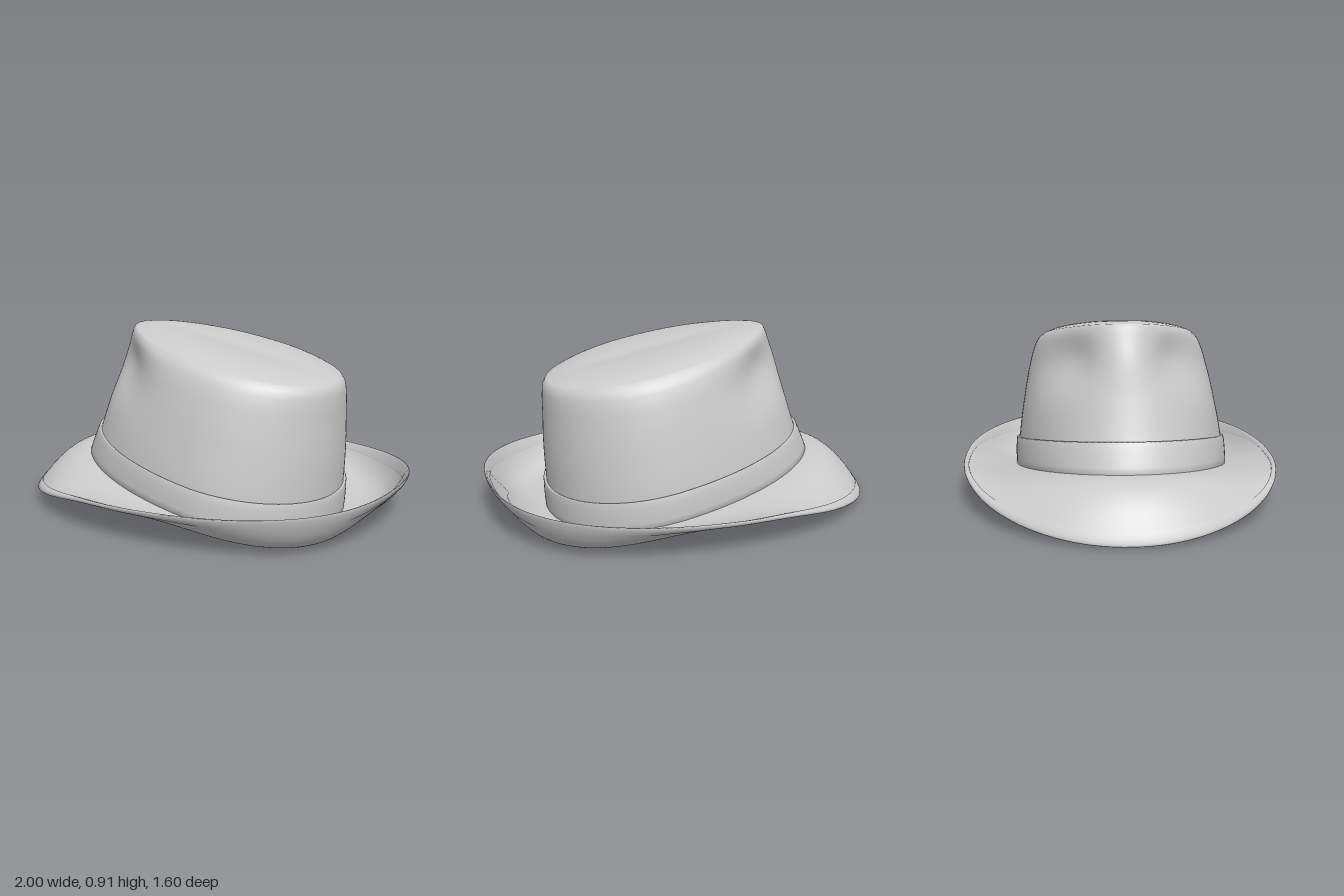
import * as THREE from 'three';

const SEG = 128;
const felt = new THREE.MeshStandardMaterial({ color: 0xcccccc, side: THREE.DoubleSide });

// Smooth curve through key values: key positions, then size values per key
function spline(keys, values, size) {
  const curve = new THREE.CubicInterpolant(keys, values, size);
  return (t) => Array.from(curve.evaluate(t));
}

// Skin a stack of closed rings; each ring is a function angle -> [x, y, z]
function loft(name, rings) {
  const pos = [], index = [];
  rings.forEach((ring, i) => {
    for (let j = 0; j < SEG; j++) {
      pos.push(...ring((j / SEG) * Math.PI * 2));
      if (i === rings.length - 1) continue;
      const a = i * SEG + j, b = i * SEG + ((j + 1) % SEG);
      index.push(a, a + SEG, b, b, a + SEG, b + SEG);
    }
  });
  const geo = new THREE.BufferGeometry();
  geo.setAttribute('position', new THREE.Float32BufferAttribute(pos, 3));
  geo.setIndex(index);
  geo.computeVertexNormals();
  const mesh = new THREE.Mesh(geo, felt);
  mesh.name = name;
  return mesh;
}

const steps = (n, from, to) => Array.from({ length: n + 1 }, (_, i) => from + ((to - from) * i) / n);
const gauss = (d, w) => Math.exp(-((d / w) ** 2));
const { lerp, clamp } = THREE.MathUtils;

// Crown: front x, rear x and half width from the base (0) to the rim (1)
const crownSize = spline(
  [0, 0.21, 0.5, 0.75, 0.9, 0.97, 1],
  [-0.7, 0.68, 0.54, -0.64, 0.69, 0.535, -0.575, 0.7, 0.505, -0.53, 0.7, 0.47,
    -0.49, 0.7, 0.44, -0.47, 0.695, 0.415, -0.46, 0.685, 0.39], 3);
const baseY = (x) => 0.126 - 0.17 * x;
const rimY = (x) => 0.822 - 0.19 * x;

// Point on the egg-shaped crown, with a finger pinch on each side of the front
function crownPoint(t, angle, grow = 0) {
  const [front, rear, half] = crownSize(t);
  const cx = 0.15 + 0.05 * t;
  const c = Math.cos(angle), s = Math.sin(angle);
  const x = cx + c * ((c < 0 ? cx - front : rear - cx) + grow);
  const fromFront = Math.acos(clamp(-c, -1, 1));
  const pinch = 1 - 0.24 * gauss(fromFront - 0.58, 0.4) * gauss(t - 0.76, 0.2);
  const z = s * (half + grow) * pinch + 0.017 * (1 - t);
  return [x + (1 - pinch) * 0.12, lerp(baseY(x), rimY(x), t), z];
}

// Domed top with a shallow lengthwise dip
function topPoint(r, angle) {
  const [x, , z] = crownPoint(1, angle);
  const px = 0.15 + (x - 0.15) * r, pz = z * r;
  const dome = 0.042 * (1 - r ** 5) - 0.008 * gauss(pz, 0.08) * (1 - r * r);
  return [px, rimY(px) + dome, pz];
}

// Brim: edge height along x; dips at the front and curls up sharply round the back
const edgeY = spline([-1, -0.9, -0.6, -0.3, 0, 0.4, 1], [0.012, 0.038, 0.105, 0.157, 0.173, 0.19, 0.22], 1);
function brimPoint(s, angle, lift) {
  const [ix, iy, iz] = crownPoint(0, angle);
  const c = Math.cos(angle), n = Math.sin(angle);
  const round = 0.9 - 0.07 * c;
  const ox = Math.sign(c) * Math.abs(c) ** round;
  const oz = 0.8 * Math.sign(n) * Math.abs(n) ** round;
  const corner = Math.sin(2 * angle) ** 2 * (c > 0 ? 1 : 0);
  const power = 2.1 + 2.9 * corner + 0.4 * Math.max(0, -c);
  const sag = 0.014 * corner * Math.sin(Math.PI * s);
  const y = lerp(iy, edgeY(ox)[0], s ** power) - sag;
  return [lerp(ix, ox, s), y + lift, lerp(iz, oz, s)];
}

export function createModel() {
  const hat = new THREE.Group();
  hat.name = 'hat';

  // Crown wall and top
  hat.add(loft('crown', [
    ...steps(36, 0, 1).map((t) => (a) => crownPoint(t, a)),
    ...steps(20, 0.98, 0).map((r) => (a) => topPoint(r, a)),
  ]));

  // Brim: underside outward, then upper side back in
  hat.add(loft('brim', [
    ...steps(24, 0, 0.99).map((s) => (a) => brimPoint(s, a, -0.008)),
    ...steps(24, 0.99, 0).map((s) => (a) => brimPoint(s, a, 0.006)),
  ]));

  // Binding wrapped over the brim edge
  const binding = [[0.91, -0.008], [0.915, -0.012], [0.96, -0.012], [0.99, -0.009], [1, 0],
    [0.99, 0.008], [0.96, 0.01], [0.915, 0.01], [0.91, 0.006]];
  hat.add(loft('brimBinding', binding.map(([s, y]) => (a) => brimPoint(s, a, y))));

  // Ribbon around the foot of the crown
  const ribbon = [[0, 0], [0, 0.016], [0.05, 0.017], [0.1, 0.017], [0.16, 0.016], [0.21, 0.014],
    [0.216, 0.009], [0.21, 0]];
  hat.add(loft('hatBand', ribbon.map(([t, g]) => (a) => crownPoint(t, a, g))));

  return hat;
}
